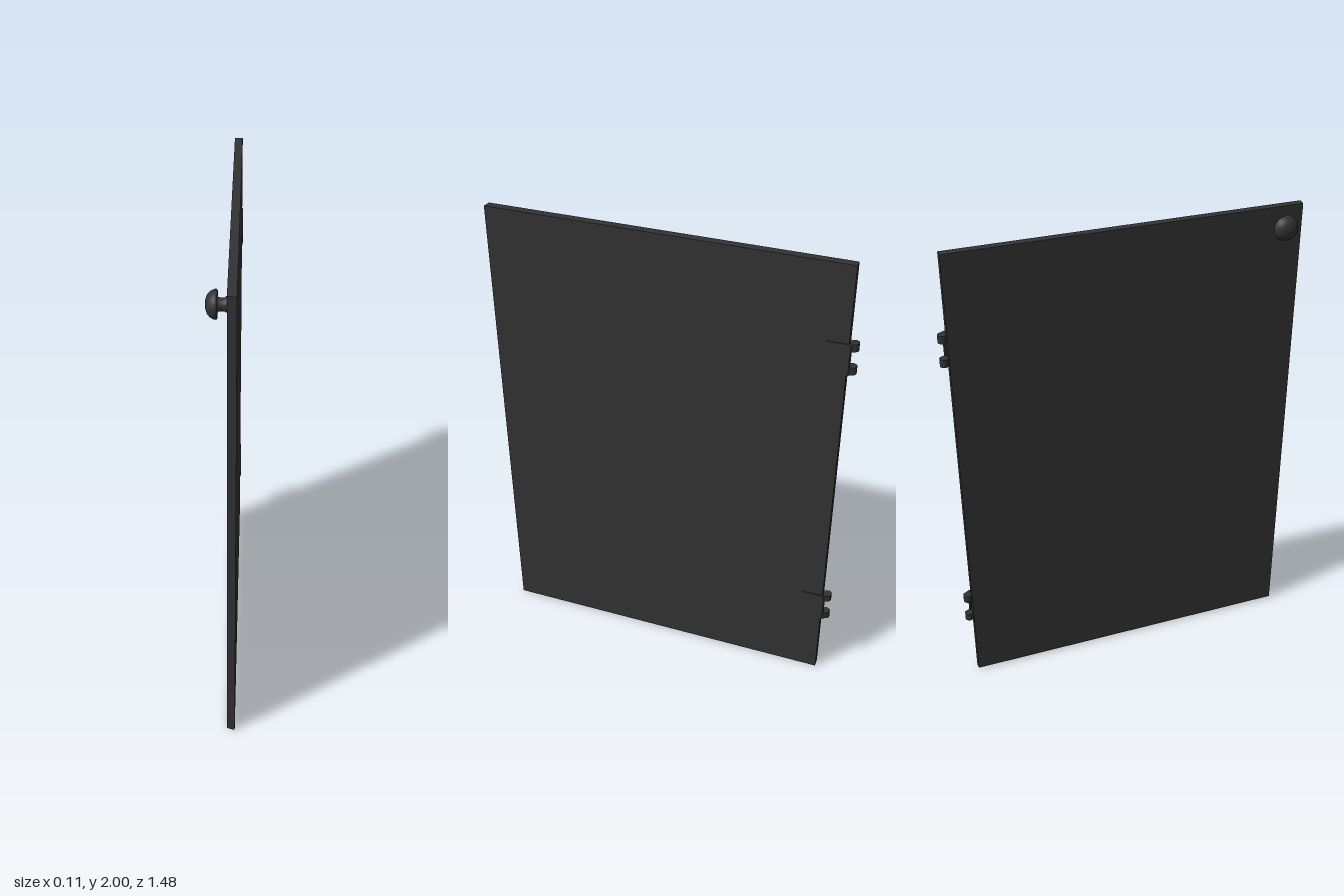
import * as THREE from 'three';

const material = new THREE.MeshStandardMaterial({ color: 0x333333, side: THREE.DoubleSide });

function add(parent, geometry, name) {
  const mesh = new THREE.Mesh(geometry, material);
  mesh.name = name;
  parent.add(mesh);
  return mesh;
}

// Door slab with its bottom and front edges slightly bevelled towards the inner face
function panelGeometry() {
  const geo = new THREE.BoxGeometry(0.033, 2, 1.445);
  geo.translate(0.0335, 1, 0.0175);
  const p = geo.attributes.position;
  for (let i = 0; i < p.count; i++) {
    if (p.getX(i) > 0.03) continue;
    if (p.getY(i) < 0.5) p.setY(i, 0.006);
    if (p.getZ(i) > 0.5) p.setZ(i, 0.735);
  }
  geo.computeVertexNormals();
  return geo;
}

// Round knob: stem plus mushroom head, turned along -x
function knobGeometry() {
  const profile = [
    [0, 0], [0.027, 0], [0.027, 0.006], [0.023, 0.01], [0.023, 0.03], [0.027, 0.036],
    [0.046, 0.034], [0.051, 0.038], [0.05, 0.046], [0.043, 0.059], [0.031, 0.069],
    [0.016, 0.074], [0, 0.0755],
  ].map(([r, h]) => new THREE.Vector2(r, h));
  return new THREE.LatheGeometry(profile, 32).rotateZ(Math.PI / 2);
}

// Strip with its outline given in (x, z), standing from y = 0 to the given height
function strip(outline, height) {
  const shape = new THREE.Shape(outline.map(([x, z]) => new THREE.Vector2(x, -z)));
  return new THREE.ExtrudeGeometry(shape, { depth: height, bevelEnabled: false }).rotateX(-Math.PI / 2);
}

function hinge(name, y) {
  const group = new THREE.Group();
  group.name = name;
  group.position.y = y;
  // Leaf lying on the outer face, folded just past the slab's edge
  add(group, strip([[0.049, -0.62], [0.054, -0.62], [0.054, -0.712], [0.049, -0.717], [0.045, -0.712], [0.049, -0.705]], 0.132), 'hingeLeaf');
  // Two knuckles with short arms joining them to the leaf
  for (const base of [0, 0.1]) {
    const knuckle = add(group, new THREE.CylinderGeometry(0.0175, 0.0175, 0.032, 20), 'hingeKnuckle');
    knuckle.position.set(0.0275, base + 0.016, -0.7225);
    const arm = add(group, strip([[0.054, -0.71], [0.037, -0.738], [0.028, -0.722], [0.046, -0.705]], 0.032), 'hingeArm');
    arm.position.y = base;
  }
  return group;
}

export function createModel() {
  const model = new THREE.Group();
  model.name = 'cabinetDoor';
  add(model, panelGeometry(), 'doorPanel');
  const knob = add(model, knobGeometry(), 'knob');
  knob.position.set(0.0185, 1.925, 0.647);
  model.add(hinge('lowerHinge', 0.299), hinge('upperHinge', 1.55));
  return model;
}
